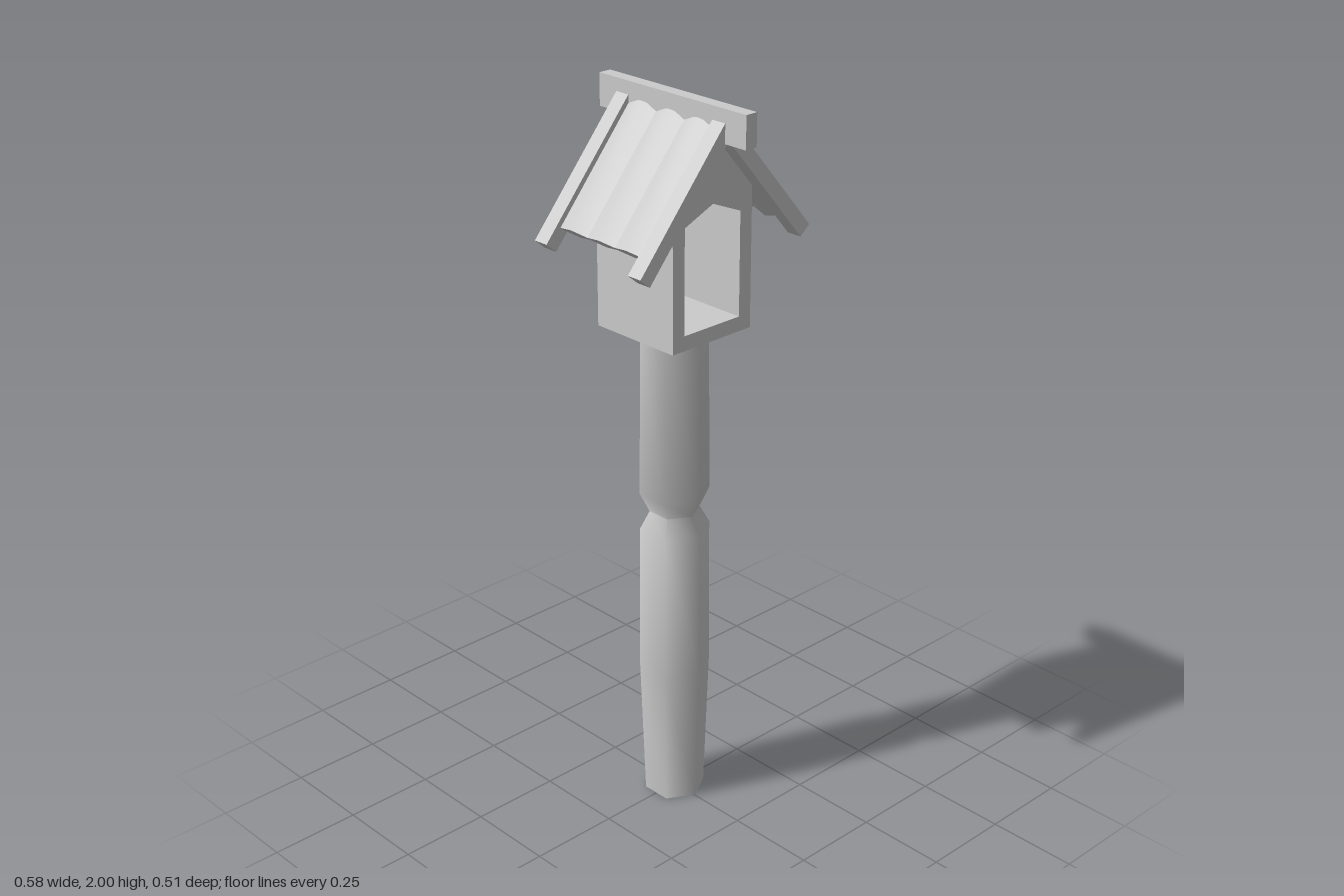
import * as THREE from 'three';
import { toCreasedNormals } from 'three/addons/utils/BufferGeometryUtils.js';

const material = new THREE.MeshStandardMaterial({ color: 0xcccccc });

function add(parent, name, geometry, x = 0, y = 0, z = 0) {
  const mesh = new THREE.Mesh(geometry, material);
  mesh.name = name;
  mesh.position.set(x, y, z);
  parent.add(mesh);
  return mesh;
}

// Five-sided gabled outline, from floor to eaves to peak
function gable(ShapeType, halfWidth, floor, eaves, peak) {
  return new ShapeType([
    [-halfWidth, floor], [halfWidth, floor], [halfWidth, eaves], [0, peak], [-halfWidth, eaves],
  ].map(([x, y]) => new THREE.Vector2(x, y)));
}

export function createModel() {
  const model = new THREE.Group();
  model.name = 'birdhouse';

  // Six-sided post with a carved groove
  const profile = [
    [0, 0], [0.083, 0], [0.097, 0.4], [0.095, 0.82], [0.068, 0.87],
    [0.095, 0.925], [0.09, 1.395], [0, 1.395],
  ].map(([r, y]) => new THREE.Vector2(r, y));
  add(model, 'post', toCreasedNormals(new THREE.LatheGeometry(profile, 6), 1.1), 0.002, 0, -0.002);

  // House box: hollow front and closed back
  const house = new THREE.Group();
  house.name = 'house';
  model.add(house);
  const walls = gable(THREE.Shape, 0.135, 1.39, 1.77, 1.925);
  walls.holes.push(gable(THREE.Path, 0.095, 1.43, 1.71, 1.75));
  add(house, 'walls', new THREE.ExtrudeGeometry(walls, { depth: 0.235, bevelEnabled: false }), 0, 0, -0.1);
  const back = gable(THREE.Shape, 0.135, 1.39, 1.77, 1.925);
  add(house, 'backWall', new THREE.ExtrudeGeometry(back, { depth: 0.04, bevelEnabled: false }), 0, 0, -0.14);

  // Roof slope: a centre line starting near the ridge
  const roof = new THREE.Group();
  roof.name = 'roof';
  model.add(roof);
  const angle = THREE.MathUtils.degToRad(49.5);
  function layOnSlope(mesh, side, distance, z) {
    mesh.position.set(
      side * (-0.015 + distance * Math.cos(angle)),
      1.967 - distance * Math.sin(angle),
      z,
    );
    mesh.rotation.z = -side * angle;
  }

  // Plank cross-section, thicker along the middle
  const section = new THREE.Shape([
    [-0.05, -0.006], [0, -0.02], [0.05, -0.006], [0.05, 0.006], [0, 0.02], [-0.05, 0.006],
  ].map(([x, y]) => new THREE.Vector2(x, y)));
  const plankLength = 0.365;
  const plank = new THREE.ExtrudeGeometry(section, { depth: plankLength, bevelEnabled: false });
  plank.translate(0, 0, -plankLength / 2);
  plank.rotateY(Math.PI / 2);
  const plankGeometry = toCreasedNormals(plank, 0.8);

  const vergeLength = 0.425;
  for (const side of [-1, 1]) {
    for (const z of [-0.102, -0.002, 0.096]) {
      layOnSlope(add(roof, 'roofPlank', plankGeometry), side, 0.025 + plankLength / 2, z);
    }
    // Boards along the front and back edges of the roof
    for (const z of [-0.174, 0.165]) {
      const board = new THREE.BoxGeometry(vergeLength, 0.04, 0.044);
      layOnSlope(add(roof, 'edgeBoard', board), side, 0.02 + vergeLength / 2, z);
    }
  }

  // Ridge beam
  add(roof, 'ridgeBeam', new THREE.BoxGeometry(0.036, 0.086, 0.515), 0.005, 1.957, -0.001);

  return model;
}
